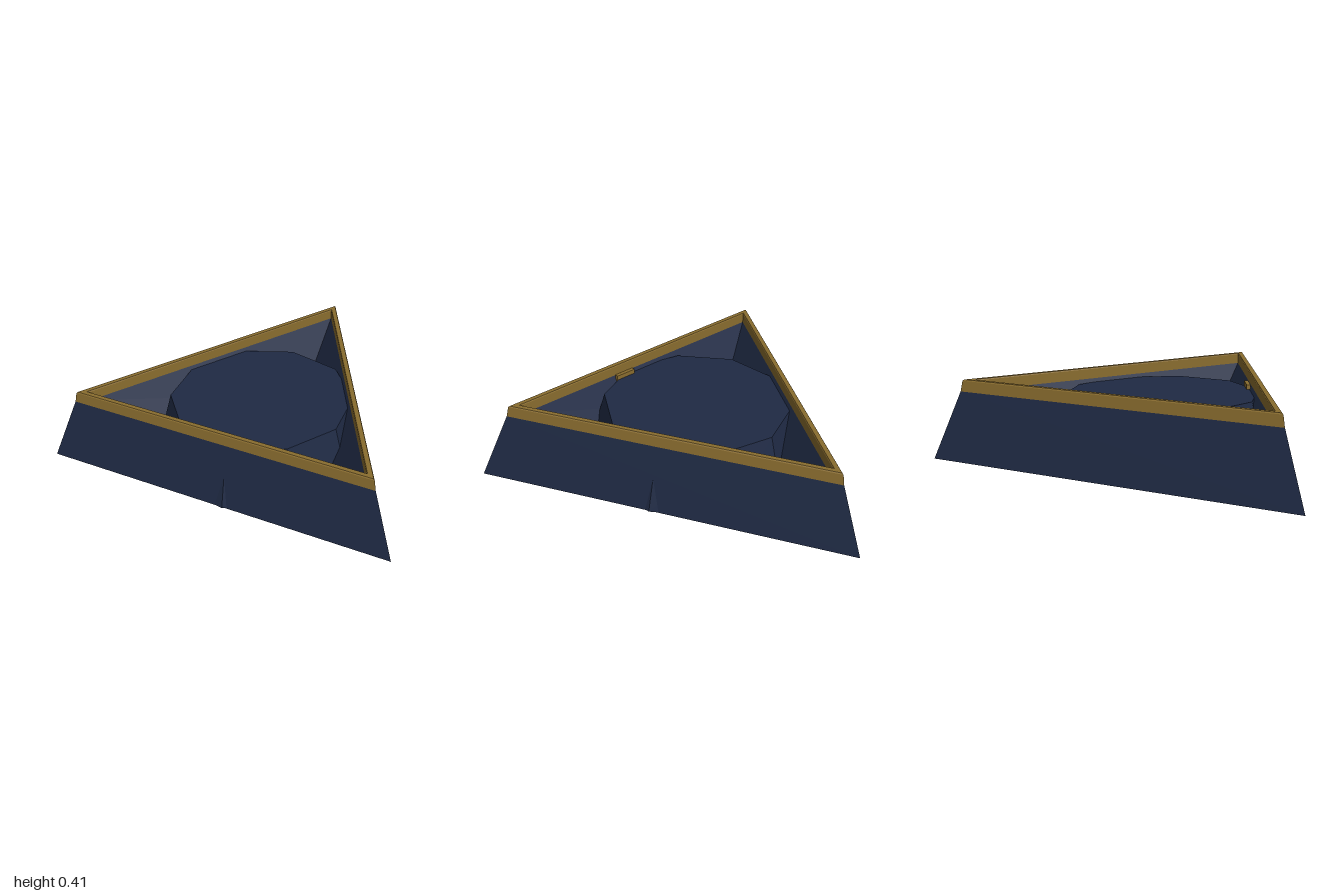
import * as THREE from 'three';

const navy = new THREE.MeshStandardMaterial({ color: 0x1f2a44, flatShading: true });
navy.name = 'navy';
const brass = new THREE.MeshStandardMaterial({ color: 0x8a6d2f, flatShading: true });
brass.name = 'brass';

// Sweeps a profile of [inradius, y] points round an equilateral triangle pointing to +z
function triangular(profile) {
  const points = profile.map(([inradius, y]) => new THREE.Vector2(inradius * 2, y));
  const geometry = new THREE.LatheGeometry(points, 3).toNonIndexed();
  geometry.computeVertexNormals();
  return geometry;
}

function addPart(parent, name, geometry, material) {
  const mesh = new THREE.Mesh(geometry, material);
  mesh.name = name;
  parent.add(mesh);
  return mesh;
}

export function createModel() {
  const group = new THREE.Group();
  group.name = 'triangularTray';
  const tray = new THREE.Group();
  tray.name = 'tray';
  tray.position.z = -0.289; // centre of the triangle
  group.add(tray);

  // Sloped outer walls with a funnel-shaped hollow
  addPart(tray, 'trayWalls', triangular([
    [0, 0], [0.577, 0], [0.502, 0.35], [0.467, 0.35], [0.27, 0.02], [0, 0.02],
  ]), navy);

  // Brass rim with a slightly bevelled top
  addPart(tray, 'rim', triangular([
    [0.466, 0.345], [0.503, 0.345], [0.497, 0.4], [0.493, 0.406],
    [0.469, 0.406], [0.466, 0.4], [0.466, 0.345],
  ]), brass);

  // Ten-sided plinth standing in the hollow
  const plinth = addPart(tray, 'plinth',
    new THREE.CylinderGeometry(0.5, 0.59, 0.328, 10, 1, false, Math.PI / 2), navy);
  plinth.position.y = 0.166;

  // Small brass catch against the wall
  const catchPiece = addPart(tray, 'catch', new THREE.BoxGeometry(0.02, 0.06, 0.12), brass);
  catchPiece.position.set(-0.326, 0.325, 0.335);
  catchPiece.rotation.y = Math.PI / 6;

  return group;
}
